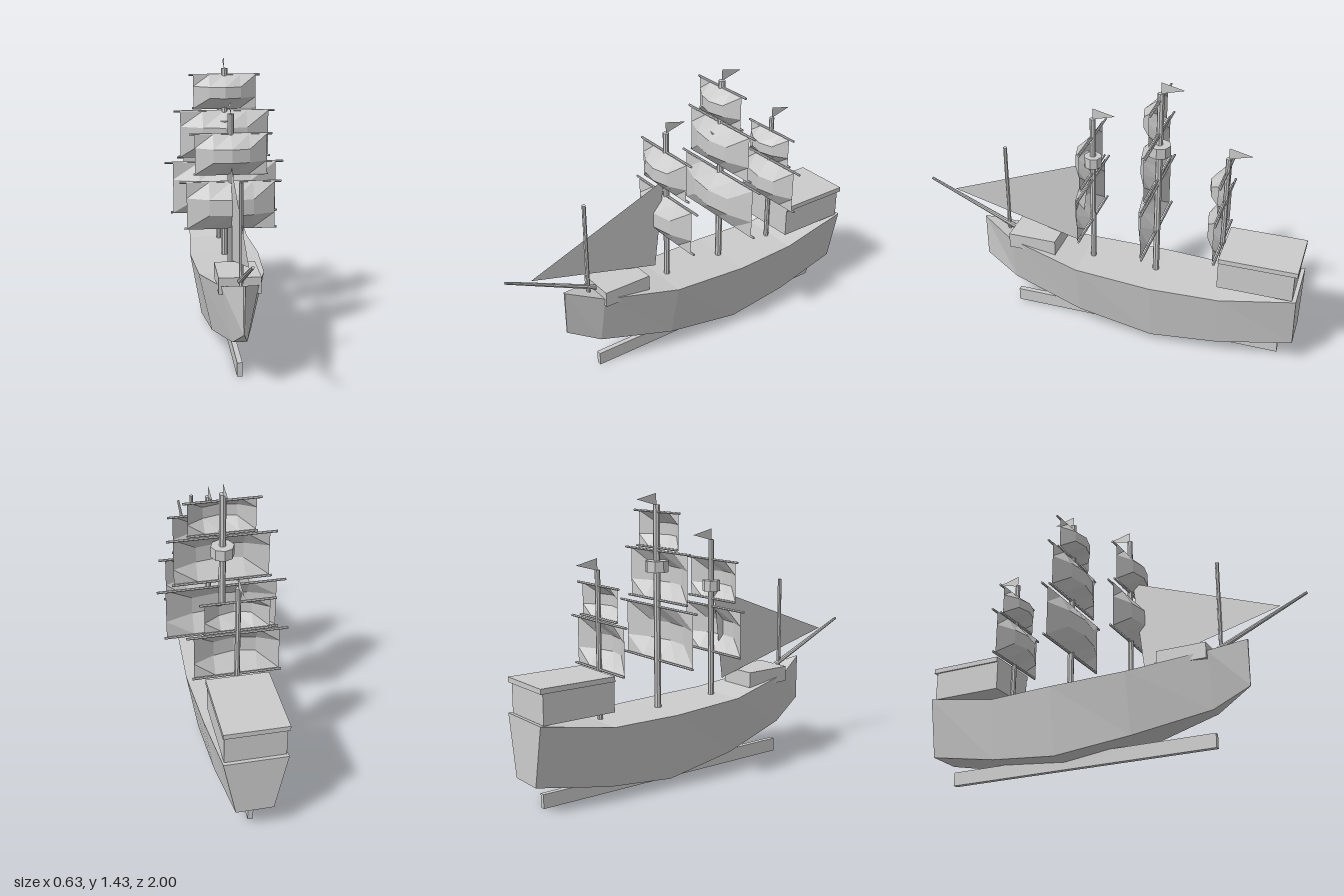
import * as THREE from 'three';

const material = new THREE.MeshStandardMaterial({ color: 0xcccccc, flatShading: true, side: THREE.DoubleSide });

function add(parent, name, geometry, x = 0, y = 0, z = 0) {
  const mesh = new THREE.Mesh(geometry, material);
  mesh.name = name;
  mesh.position.set(x, y, z);
  parent.add(mesh);
  return mesh;
}

// Box given by its width and its y and z ranges
function addBox(parent, name, width, y0, y1, z0, z1) {
  return add(parent, name, new THREE.BoxGeometry(width, y1 - y0, z1 - z0), 0, (y0 + y1) / 2, (z0 + z1) / 2);
}

function addPole(parent, name, radius, y0, y1, z) {
  return add(parent, name, new THREE.CylinderGeometry(radius, radius, y1 - y0, 8), 0, (y0 + y1) / 2, z);
}

// Flat triangle in the plane x = 0, corners as [y, z]
function triangle(corners) {
  const g = new THREE.BufferGeometry();
  g.setAttribute('position', new THREE.Float32BufferAttribute(corners.flatMap(([y, z]) => [0, y, z]), 3));
  g.computeVertexNormals();
  return g;
}

// Hull lofted through stations [z, deckY, deckHalfWidth, bottomY, bottomHalfWidth], stern to bow
function hullGeometry() {
  const stations = [
    [-1.0, 0.44, 0.15, 0.14, 0.09],
    [-0.62, 0.372, 0.165, 0.07, 0.115],
    [-0.27, 0.375, 0.185, 0.038, 0.125],
    [0.13, 0.39, 0.165, 0.09, 0.1],
    [0.52, 0.452, 0.088, 0.175, 0.035],
    [0.695, 0.51, 0.005, 0.275, 0.002],
  ];
  const rings = stations.map(([z, ty, tw, by, bw]) => [[tw, ty, z], [-tw, ty, z], [-bw, by, z], [bw, by, z]]);
  const pos = [];
  const quad = (a, b, c, d) => pos.push(...a, ...b, ...c, ...a, ...c, ...d);
  for (let i = 0; i < rings.length - 1; i++) {
    for (let j = 0; j < 4; j++) {
      const k = (j + 1) % 4;
      quad(rings[i][j], rings[i][k], rings[i + 1][k], rings[i + 1][j]);
    }
  }
  quad(...rings[rings.length - 1]);
  quad(...[...rings[0]].reverse());
  const g = new THREE.BufferGeometry();
  g.setAttribute('position', new THREE.Float32BufferAttribute(pos, 3));
  g.computeVertexNormals();
  return g;
}

// Square sail, billowing forward in the middle
function sailGeometry(halfWidth, height, depth) {
  const g = new THREE.PlaneGeometry(halfWidth * 2, height, 4, 3);
  const p = g.attributes.position;
  for (let i = 0; i < p.count; i++) {
    const u = p.getX(i) / (halfWidth * 2) + 0.5;
    const v = p.getY(i) / height + 0.5;
    p.setZ(i, depth * Math.sin(Math.PI * u) * Math.sin(Math.PI * v));
  }
  g.computeVertexNormals();
  return g;
}

function addYard(parent, halfLength, y, z) {
  const yard = add(parent, 'yard', new THREE.CylinderGeometry(0.006, 0.006, halfLength * 2, 6), 0, y, z);
  yard.rotation.z = Math.PI / 2;
}

// Mast with its sails, yards, flag and lookout
function addMast(parent, { name, z, y0, y1, radius, sails, nest }) {
  const rig = new THREE.Group();
  rig.name = name;
  parent.add(rig);
  addPole(rig, 'mast', radius, y0, y1, z);
  for (const [bottom, top, sailHalf, topYard, bottomYard] of sails) {
    add(rig, 'sail', sailGeometry(sailHalf, top - bottom, 0.08), 0, (top + bottom) / 2, z + 0.01);
    addYard(rig, topYard, top, z);
    addYard(rig, bottomYard, bottom, z);
  }
  add(rig, 'flag', triangle([[y1 - 0.003, z], [y1 + 0.055, z], [y1 + 0.028, z - 0.115]]));
  if (nest) add(rig, 'crowsNest', new THREE.CylinderGeometry(nest[0], nest[0], 0.055, 8), 0, nest[1], z);
}

export function createModel() {
  const ship = new THREE.Group();
  ship.name = 'sailingShip';

  // Hull, keel and raised decks
  add(ship, 'hull', hullGeometry());
  addBox(ship, 'keel', 0.026, 0, 0.07, -0.92, 0.52);
  addBox(ship, 'sterncastle', 0.286, 0.438, 0.585, -0.98, -0.605);
  addBox(ship, 'sterncastleRoof', 0.302, 0.585, 0.61, -0.995, -0.605);
  addBox(ship, 'forecastle', 0.2, 0.412, 0.492, 0.265, 0.52);

  // Masts; each sail is [bottom, top, half width, top yard half, bottom yard half]
  addMast(ship, {
    name: 'foreMast', z: 0.085, y0: 0.38, y1: 1.19, radius: 0.015, nest: [0.045, 0.957],
    sails: [[0.615, 0.85, 0.22, 0.255, 0.232], [0.89, 1.09, 0.178, 0.205, 0.185]],
  });
  addMast(ship, {
    name: 'mainMast', z: -0.255, y0: 0.365, y1: 1.377, radius: 0.017, nest: [0.057, 1.08],
    sails: [[0.615, 0.883, 0.272, 0.315, 0.285], [0.915, 1.155, 0.231, 0.264, 0.242], [1.17, 1.343, 0.162, 0.185, 0.167]],
  });
  addMast(ship, {
    name: 'mizzenMast', z: -0.595, y0: 0.365, y1: 1.088, radius: 0.013,
    sails: [[0.615, 0.845, 0.2, 0.235, 0.21], [0.86, 1.015, 0.15, 0.175, 0.157]],
  });

  // Bow rigging
  addPole(ship, 'bowPole', 0.01, 0.46, 0.95, 0.56);
  add(ship, 'jib', triangle([[0.648, 0.865], [0.94, 0.1], [0.463, 0.158]]));
  const from = new THREE.Vector3(0, 0.435, 0.43);
  const to = new THREE.Vector3(0, 0.69, 0.997);
  const along = to.clone().sub(from);
  const bowsprit = add(ship, 'bowsprit', new THREE.CylinderGeometry(0.007, 0.014, along.length(), 8));
  bowsprit.position.copy(from).addScaledVector(along, 0.5);
  bowsprit.quaternion.setFromUnitVectors(new THREE.Vector3(0, 1, 0), along.normalize());

  return ship;
}
